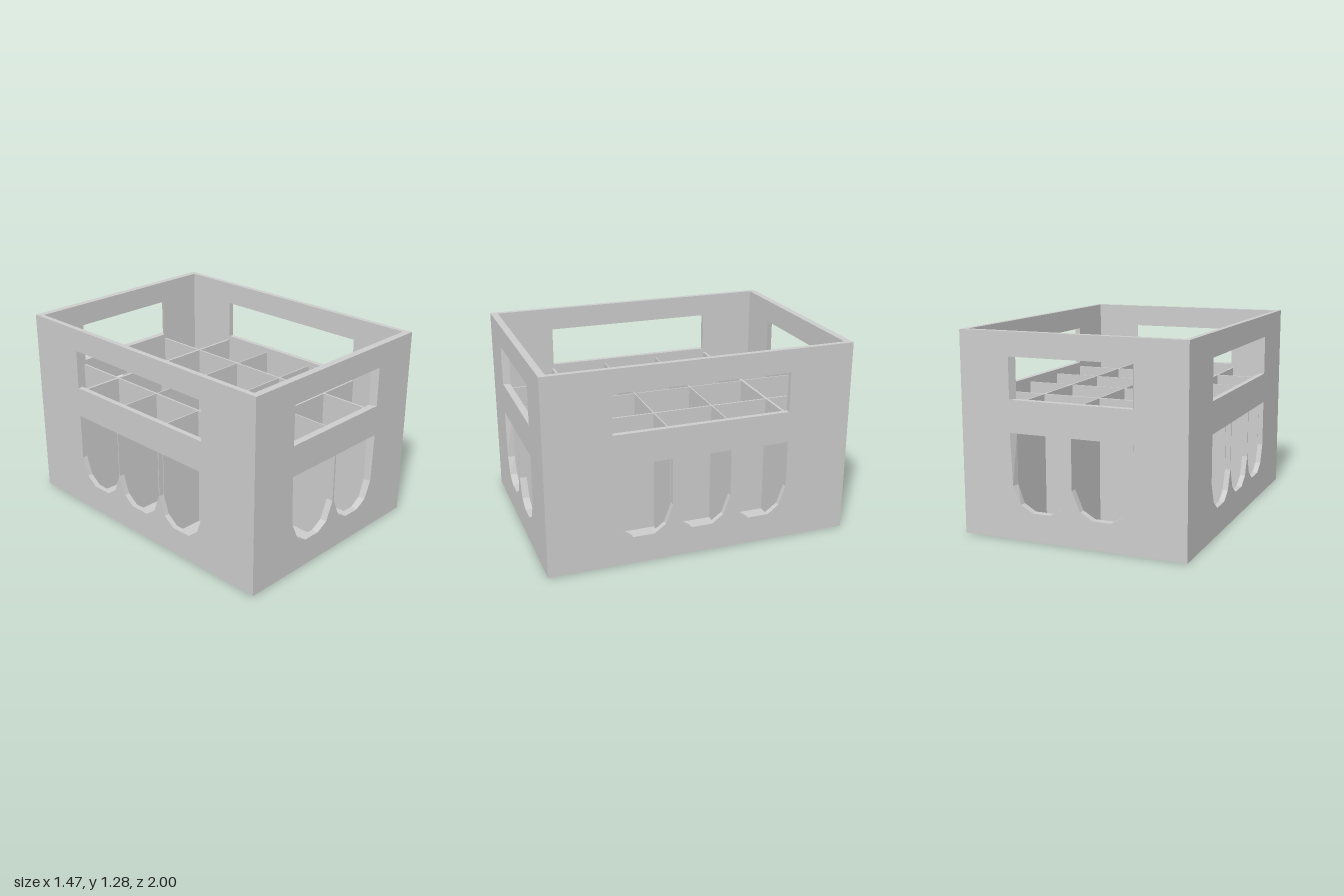
import * as THREE from 'three';

const W = 0.735, D = 1, H = 1.28;   // half width, half depth, height
const TX = 0.035, TZ = 0.046;       // side wall and end wall thickness
const FLOOR = 0.04, DIVIDER_TOP = 0.84;

const material = new THREE.MeshStandardMaterial({ color: 0xcccccc, flatShading: true });

const toPath = (points, PathType = THREE.Path) =>
  new PathType(points.map(([x, y]) => new THREE.Vector2(x, y)));

// Wall with cut-outs; local z = 0 is the inner face, z = thickness the outer one
function wallGeometry(halfWidth, thickness, holes) {
  const shape = toPath([[-halfWidth, 0], [halfWidth, 0], [halfWidth, H], [-halfWidth, H]], THREE.Shape);
  shape.holes = holes.map((points) => toPath(points));
  return new THREE.ExtrudeGeometry(shape, { depth: thickness, bevelEnabled: false });
}

const handleHole = (half) => [[-half, 0.87], [-half, 1.13], [half, 1.13], [half, 0.87]];

export function createModel() {
  const crate = new THREE.Group();
  crate.name = 'bottleCrate';

  function add(name, geometry, x = 0, y = 0, z = 0, turn = 0) {
    const mesh = new THREE.Mesh(geometry, material);
    mesh.name = name;
    mesh.position.set(x, y, z);
    mesh.rotation.y = turn;
    crate.add(mesh);
  }

  // End walls: a handle and two windows with faceted round bottoms
  const window = [[0.006, 0.667], [0.403, 0.667], [0.39, 0.34], [0.338, 0.225], [0.26, 0.18],
    [0.14, 0.18], [0.06, 0.225], [0.006, 0.35]];
  const endWall = wallGeometry(W, TZ, [
    handleHole(0.403), window, window.map(([x, y]) => [-x, y]),
  ]);
  // The outer sides of the cut-outs narrow towards the inside
  const p = endWall.attributes.position;
  for (let i = 0; i < p.count; i++) {
    const x = p.getX(i);
    if (p.getZ(i) < 0.001 && Math.abs(x) > 0.38 && Math.abs(x) < 0.5) p.setX(i, Math.sign(x) * 0.38);
  }
  endWall.computeVertexNormals();
  add('frontWall', endWall, 0, 0, D - TZ);
  add('backWall', endWall, 0, 0, -(D - TZ), Math.PI);

  // Side walls: a handle and three windows
  const sideWindows = [-0.386, 0, 0.386].map((c) =>
    [[-0.19, 0.667], [0.19, 0.667], [0.19, 0.36], [0.145, 0.235], [0.07, 0.18],
      [-0.07, 0.18], [-0.145, 0.235], [-0.19, 0.36]].map(([x, y]) => [x + c, y]));
  const sideWall = wallGeometry(D - TZ, TX, [handleHole(0.576), ...sideWindows]);
  add('leftWall', sideWall, W - TX, 0, 0, Math.PI / 2);
  add('rightWall', sideWall, -(W - TX), 0, 0, -Math.PI / 2);

  // Floor
  add('floor', new THREE.BoxGeometry(2 * (W - TX), FLOOR, 2 * (D - TZ)), 0, FLOOR / 2, 0);

  // Bottle dividers, running both ways
  const height = DIVIDER_TOP - FLOOR, midY = FLOOR + height / 2;
  for (const [x, t] of [[-0.387, 0.013], [0, 0.008], [0.387, 0.013]])
    add('lengthDivider', new THREE.BoxGeometry(t, height, 2 * (D - TZ)), x, midY, 0);
  for (const [z, t] of [[-0.587, 0.017], [-0.197, 0.008], [0.197, 0.008], [0.583, 0.017]])
    add('crossDivider', new THREE.BoxGeometry(2 * (W - TX), height, t), 0, midY, z);

  return crate;
}
